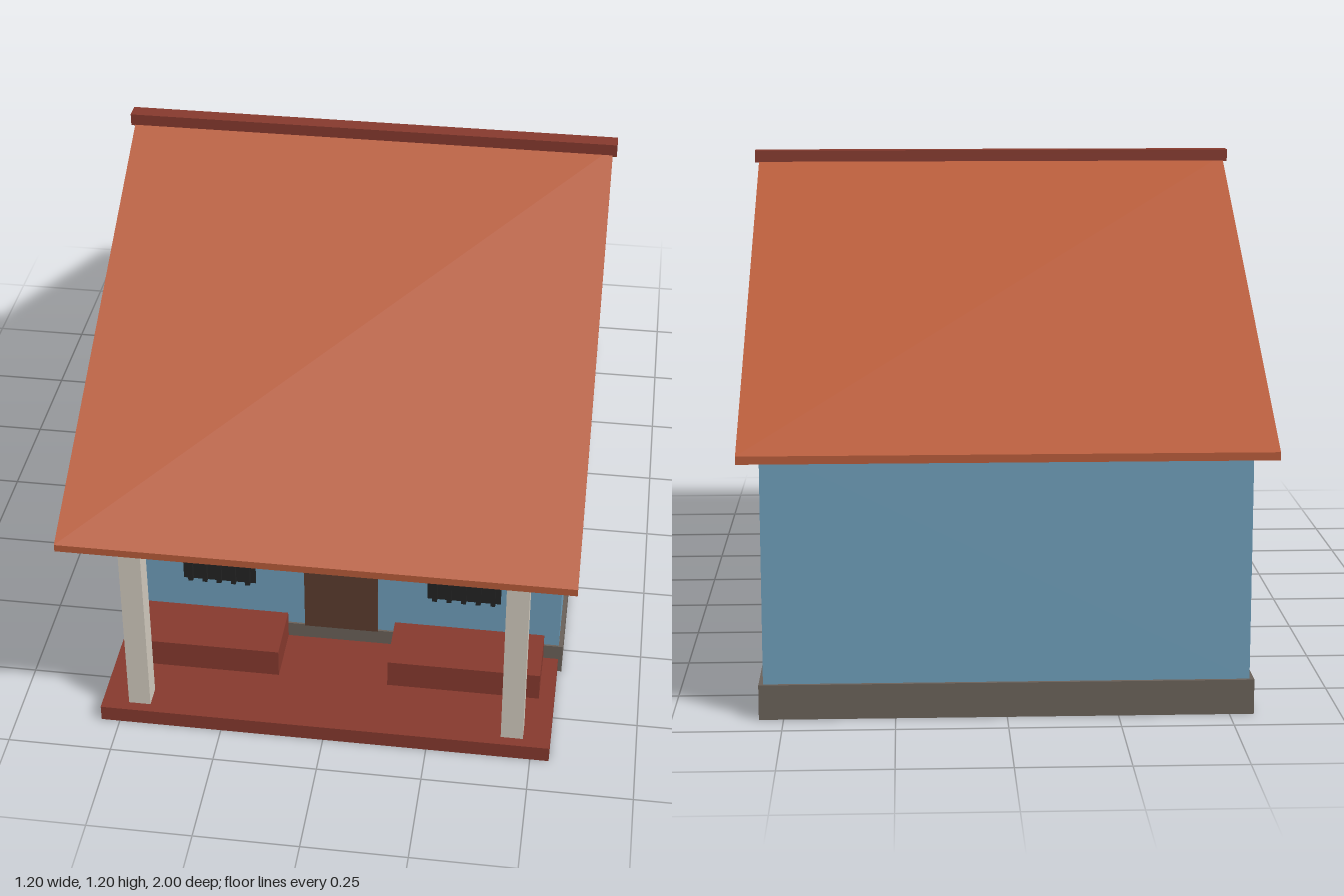
import * as THREE from 'three';

const paint = (name, color) => {
  const m = new THREE.MeshStandardMaterial({ color, side: THREE.DoubleSide });
  m.name = name;
  return m;
};

export function createModel() {
  const house = new THREE.Group();
  house.name = 'house';

  const blue = paint('wall blue', 0x6f9fbb);
  const tile = paint('roof terracotta', 0xb85c3a);
  const red = paint('oxide red', 0x873a2e);
  const stone = paint('plinth grey', 0x6b625a);
  const cream = paint('cream trim', 0xd3ccc0);
  const wood = paint('door brown', 0x5c3d2e);
  const iron = paint('window black', 0x232323);

  const add = (name, geometry, material) => {
    const mesh = new THREE.Mesh(geometry, material);
    mesh.name = name;
    house.add(mesh);
    return mesh;
  };

  // Box from its limits; open lists the sides left out (0 +x, 1 -x, 2 +y, 3 -y, 4 +z, 5 -z)
  const box = (name, material, [x0, x1], [y0, y1], [z0, z1], open = []) => {
    const g = new THREE.BoxGeometry(x1 - x0, y1 - y0, z1 - z0);
    g.translate((x0 + x1) / 2, (y0 + y1) / 2, (z0 + z1) / 2);
    const index = Array.from(g.index.array);
    g.setIndex(index.filter((_, i) => !open.includes(Math.floor(i / 6))));
    g.clearGroups();
    return add(name, g, material);
  };

  // Upright sheet facing the front
  const sheet = (name, material, [x0, x1], [y0, y1], z) => {
    const g = new THREE.PlaneGeometry(x1 - x0, y1 - y0);
    g.translate((x0 + x1) / 2, (y0 + y1) / 2, z);
    return add(name, g, material);
  };

  // Outline given as [z, y] pairs
  const outline = (points) => new THREE.Shape(points.map(([z, y]) => new THREE.Vector2(-z, y)));

  // Hollow plinth and porch slab
  box('plinth', stone, [-0.555, 0.555], [0, 0.08], [-0.925, 0.58], [3, 4]);
  sheet('plinthFront', stone, [-0.135, 0.135], [0.04, 0.08], 0.58);
  box('porchFloor', red, [-0.545, 0.545], [0, 0.04], [0.58, 0.9], [3]);

  // Front and back walls
  sheet('frontWall', blue, [-0.545, 0.545], [0.08, 0.815], 0.575);
  sheet('backWall', blue, [-0.545, 0.545], [0.08, 0.622], -0.917).geometry.rotateY(0);

  // Side walls with gables reaching out over the porch
  const gable = outline([
    [-0.917, 0.08], [0.575, 0.08], [0.575, 0.625], [0.9, 0.625], [0, 1.152], [-0.917, 0.622],
  ]);
  for (const side of [-1, 1]) {
    const g = new THREE.ShapeGeometry(gable);
    g.rotateY(Math.PI / 2);
    g.translate(side * 0.545, 0, 0);
    // Turn the right wall's faces outward
    if (side < 0) {
      g.setIndex(Array.from(g.index.array).reverse());
      g.computeVertexNormals();
    }
    add(side > 0 ? 'leftGableWall' : 'rightGableWall', g, blue);
  }

  // Two roof slopes and the ridge cap
  for (const side of [-1, 1]) {
    const slope = outline([[0, 1.178], [side, 0.618], [side, 0.6], [0, 1.16]]);
    const g = new THREE.ExtrudeGeometry(slope, { depth: 1.18, bevelEnabled: false });
    g.translate(0, 0, -0.59);
    g.rotateY(Math.PI / 2);
    add(side > 0 ? 'frontRoof' : 'backRoof', g, tile);
  }
  box('ridgeCap', red, [-0.6, 0.6], [1.165, 1.195], [-0.02, 0.02]);

  // Door, lintel and the long ledge above
  box('door', wood, [-0.092, 0.092], [0.08, 0.468], [0.575, 0.584], [5]);
  box('doorLintel', cream, [-0.11, 0.11], [0.467, 0.49], [0.575, 0.595], [5]);
  box('ledge', cream, [-0.49, 0.49], [0.505, 0.517], [0.575, 0.675], [5]);

  // Porch posts, benches and barred windows on both sides
  for (const s of [-1, 1]) {
    const span = (a, b) => (s > 0 ? [a, b] : [-b, -a]);
    box('porchPost', cream, span(0.427, 0.48), [0.04, 0.622], [0.822, 0.875]);
    box('bench', red, span(0.135, 0.508), [0.04, 0.113], [0.58, 0.73], [3, 5]);
    sheet('plinthCorner', stone, span(0.508, 0.555), [0.04, 0.08], 0.58);
    sheet('plinthCornerFoot', stone, span(0.545, 0.555), [0, 0.04], 0.58);
    box('windowPane', iron, span(0.215, 0.397), [0.2, 0.42], [0.575, 0.58], [5]);
    for (let i = 0; i < 5; i++) {
      const x = 0.234 + i * 0.036;
      box('windowBar', iron, span(x - 0.006, x + 0.006), [0.2, 0.42], [0.58, 0.591], [5]);
    }
  }
  return house;
}
